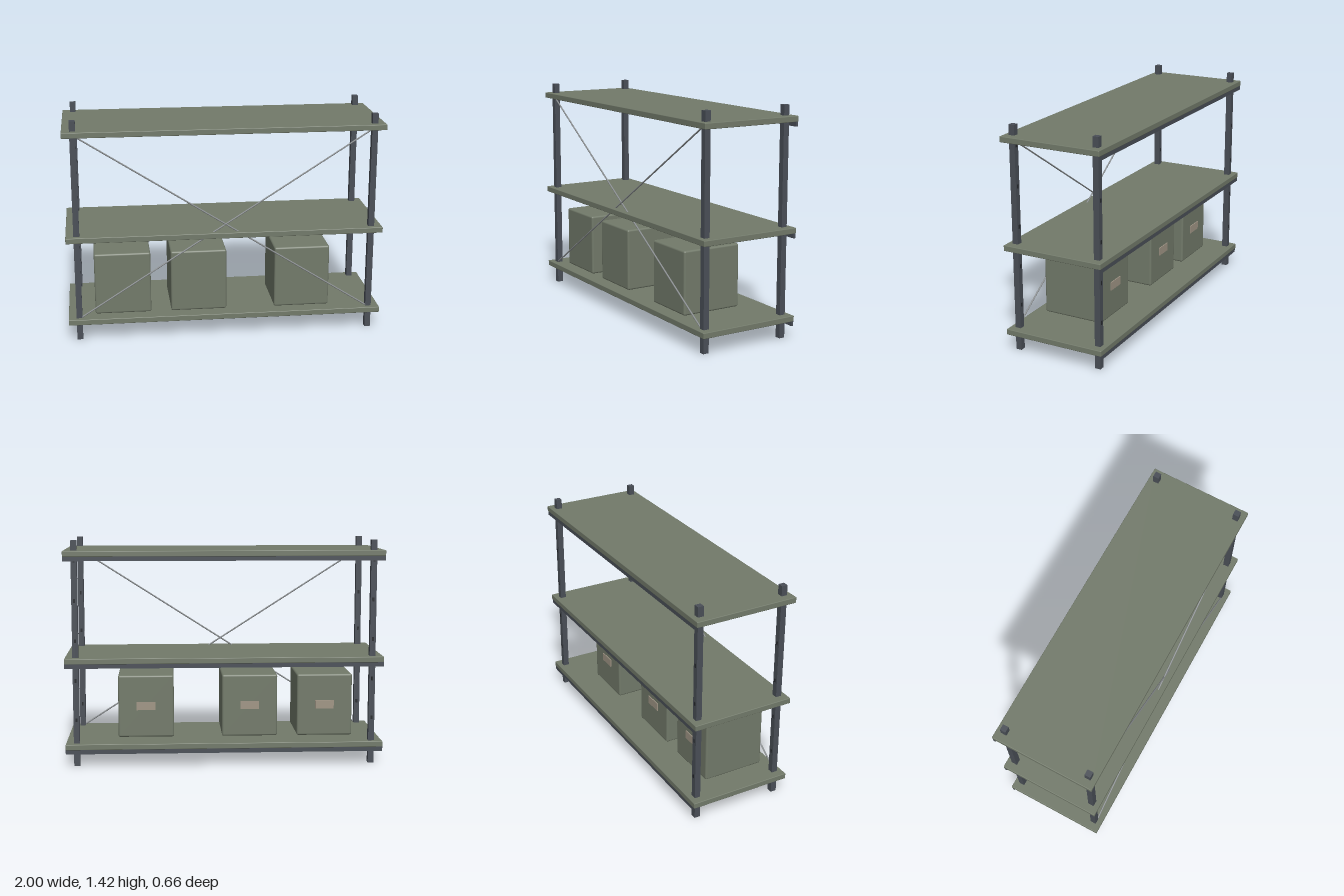
import * as THREE from 'three';
import { RoundedBoxGeometry } from 'three/addons/geometries/RoundedBoxGeometry.js';

const paint = (color) => new THREE.MeshStandardMaterial({ color });

export function createModel() {
  const group = new THREE.Group();
  const green = paint(0x727a6a), steel = paint(0x4a4f57), dark = paint(0x24272b);
  const wire = paint(0x8c9092), paper = paint(0xa09585);

  const add = (name, geometry, material, x, y, z) => {
    const mesh = new THREE.Mesh(geometry, material);
    mesh.name = name;
    mesh.position.set(x, y, z);
    group.add(mesh);
    return mesh;
  };

  // Four square posts with a column of slots on their rear faces
  const post = new THREE.BoxGeometry(0.037, 1.418, 0.037);
  const slot = new THREE.BoxGeometry(0.012, 0.024, 0.006);
  for (const x of [-0.932, 0.932]) {
    for (const z of [-0.277, 0.277]) {
      add('post', post, steel, x, 0.709, z);
      for (let i = 0; i < 5; i++) add('postSlot', slot, dark, x, 0.295 + i * 0.25, z - 0.018);
    }
  }

  // Shelf boards, each with a stiffening rail under the rear edge
  const board = new RoundedBoxGeometry(2, 0.036, 0.656, 2, 0.004);
  const rail = new THREE.BoxGeometry(2, 0.03, 0.014);
  for (const top of [0.145, 0.688, 1.355]) {
    add('shelf', board, green, 0, top - 0.018, 0);
    add('rearRail', rail, steel, 0, top - 0.048, -0.316);
  }

  // Crossed wire braces between the front posts
  const rise = 1.17, run = 1.83;
  const rod = new THREE.CylinderGeometry(0.005, 0.005, Math.hypot(rise, run), 8);
  for (const side of [-1, 1]) {
    const brace = add('crossBrace', rod, wire, 0, 0.735, 0.291);
    brace.rotation.z = side * Math.atan2(run, rise);
  }

  // Storage boxes with a label on the rear face
  const box = new RoundedBoxGeometry(0.356, 0.4, 0.398, 3, 0.012);
  const label = new THREE.BoxGeometry(0.12, 0.053, 0.006);
  for (const x of [-0.652, -0.168, 0.498]) {
    add('storageBox', box, green, x, 0.35, 0.052);
    add('boxLabel', label, paper, x, 0.353, -0.15);
  }

  return group;
}
